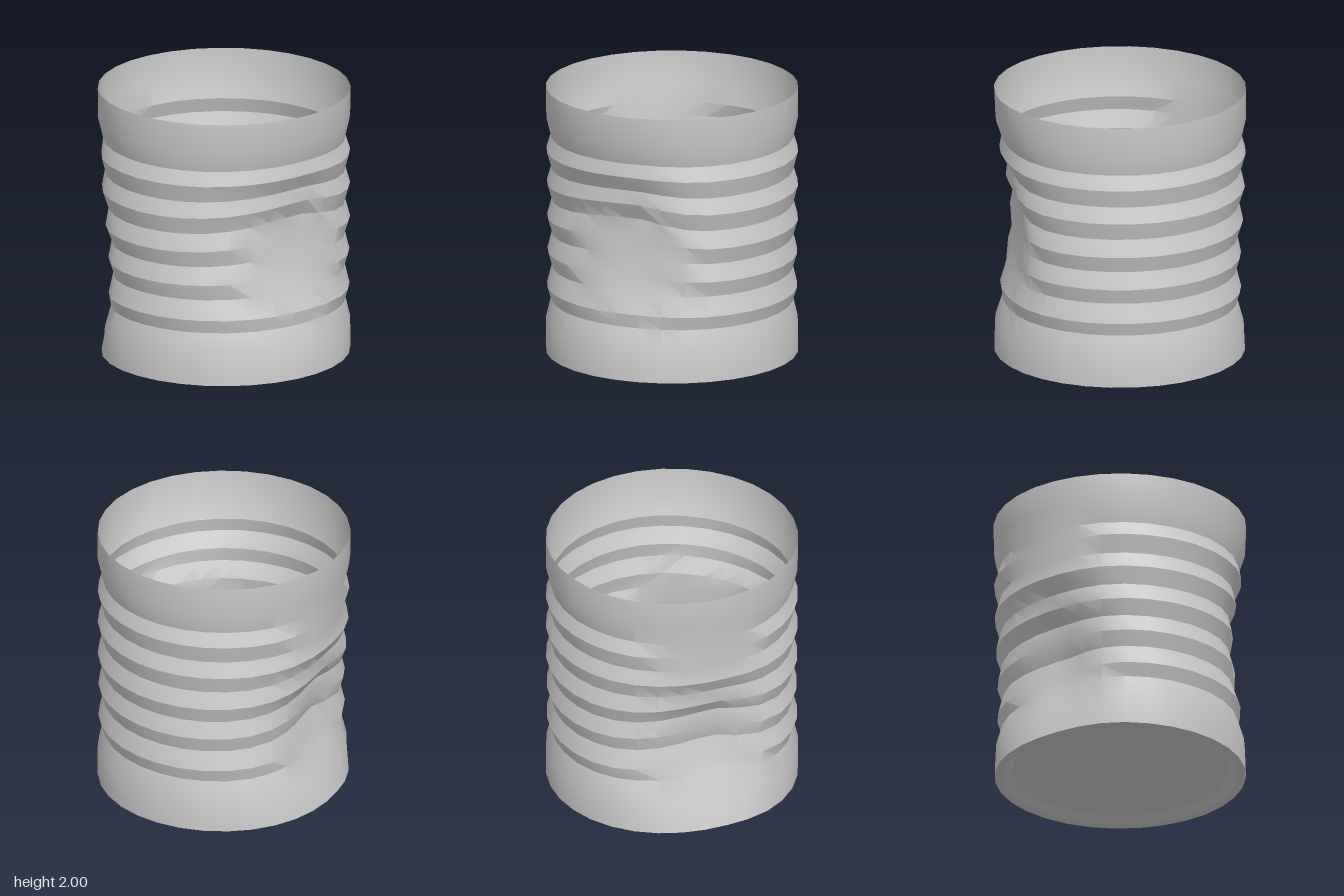
import * as THREE from 'three';
import { toCreasedNormals } from 'three/addons/utils/BufferGeometryUtils.js';

const SIDES = 32;
const MID = 0.9; // radius halfway between rib crests and grooves

// Dents: centre angle (degrees from +z towards +x), spread on each side, height, depth, lift of the ribs
const dents = [
  { angle: 18, minus: 30, plus: 16, y: 1.0, tall: 0.35, depth: 0.135, lift: 0.065, liftY: 1.12 },
  { angle: -128, minus: 27, plus: 16, y: 0.64, tall: 0.37, depth: 0.205, lift: 0.05, liftY: 0.8 },
];
// Zones where the ribs are pressed flat
const flats = [
  { angle: 17, inner: 14, outer: 34, y0: 0.6, y1: 1.05 },
  { angle: -130, inner: 14, outer: 36, y0: 0.36, y1: 0.55 },
  { angle: -132, inner: 14, outer: 36, y0: 1.5, y1: 1.54 },
];

const bell = (d, s) => Math.exp(-0.5 * (d / s) ** 2);
const wrap = (d) => THREE.MathUtils.euclideanModulo(d + 180, 360) - 180;

// Move one point of the can wall by the dents
function wallPoint(radius, y, deg) {
  let flat = 0;
  for (const f of flats) {
    const side = 1 - THREE.MathUtils.smoothstep(Math.abs(wrap(deg - f.angle)), f.inner, f.outer);
    const gap = Math.max(f.y0 - y, y - f.y1, 0);
    flat = Math.max(flat, side * (1 - THREE.MathUtils.smoothstep(gap, 0, 0.08)));
  }
  let r = radius > 0.87 ? MID + (radius - MID) * (1 - flat) : radius;
  let h = y;
  for (const d of dents) {
    const off = wrap(deg - d.angle);
    const around = bell(off, off < 0 ? d.minus : d.plus);
    if (radius > 0.8 && y < 1.9) r -= d.depth * around * bell(y - d.y, d.tall);
    if (y > 0.1 && y < 1.9) h += d.lift * around * bell(y - d.liftY, 0.24);
  }
  const a = THREE.MathUtils.degToRad(deg);
  return [r * Math.sin(a), h, r * Math.cos(a)];
}

// Skin a list of [radius, y] rings, running down the outside
function skin(profile) {
  const pos = [], index = [];
  for (const [r, y] of profile)
    for (let i = 0; i < SIDES; i++) pos.push(...wallPoint(r, y, (i * 360) / SIDES));
  for (let j = 0; j < profile.length - 1; j++)
    for (let i = 0; i < SIDES; i++) {
      const k = (i + 1) % SIDES;
      const a = j * SIDES + i, b = a + SIDES, c = (j + 1) * SIDES + k, d = j * SIDES + k;
      index.push(a, b, c, a, c, d);
    }
  const g = new THREE.BufferGeometry();
  g.setAttribute('position', new THREE.Float32BufferAttribute(pos, 3));
  g.setIndex(index);
  return toCreasedNormals(g, THREE.MathUtils.degToRad(26));
}

export function createModel() {
  const group = new THREE.Group();
  group.name = 'dentedCan';
  const material = new THREE.MeshStandardMaterial({ color: 0xcccccc, side: THREE.DoubleSide });
  const add = (name, geometry) => {
    const mesh = new THREE.Mesh(geometry, material);
    mesh.name = name;
    group.add(mesh);
    return mesh;
  };

  // Ribbed wall, open at the top
  add('ribbedWall', skin([
    [0.922, 2], [0.922, 1.78],
    [0.887, 1.625], [0.922, 1.515], [0.887, 1.38], [0.922, 1.26], [0.887, 1.13], [0.922, 1.0],
    [0.885, 0.88], [0.917, 0.75], [0.882, 0.635], [0.917, 0.49], [0.885, 0.39],
    [0.922, 0.23], [0.922, 0],
  ]));

  // Foot ring and its slope up to the recessed floor
  add('footRing', skin([[0.922, 0], [0.86, 0], [0.79, 0.045]]));

  // Recessed floor
  const floor = add('floor', new THREE.CircleGeometry(0.79, SIDES));
  floor.rotation.x = -Math.PI / 2;
  floor.position.y = 0.045;

  return group;
}
